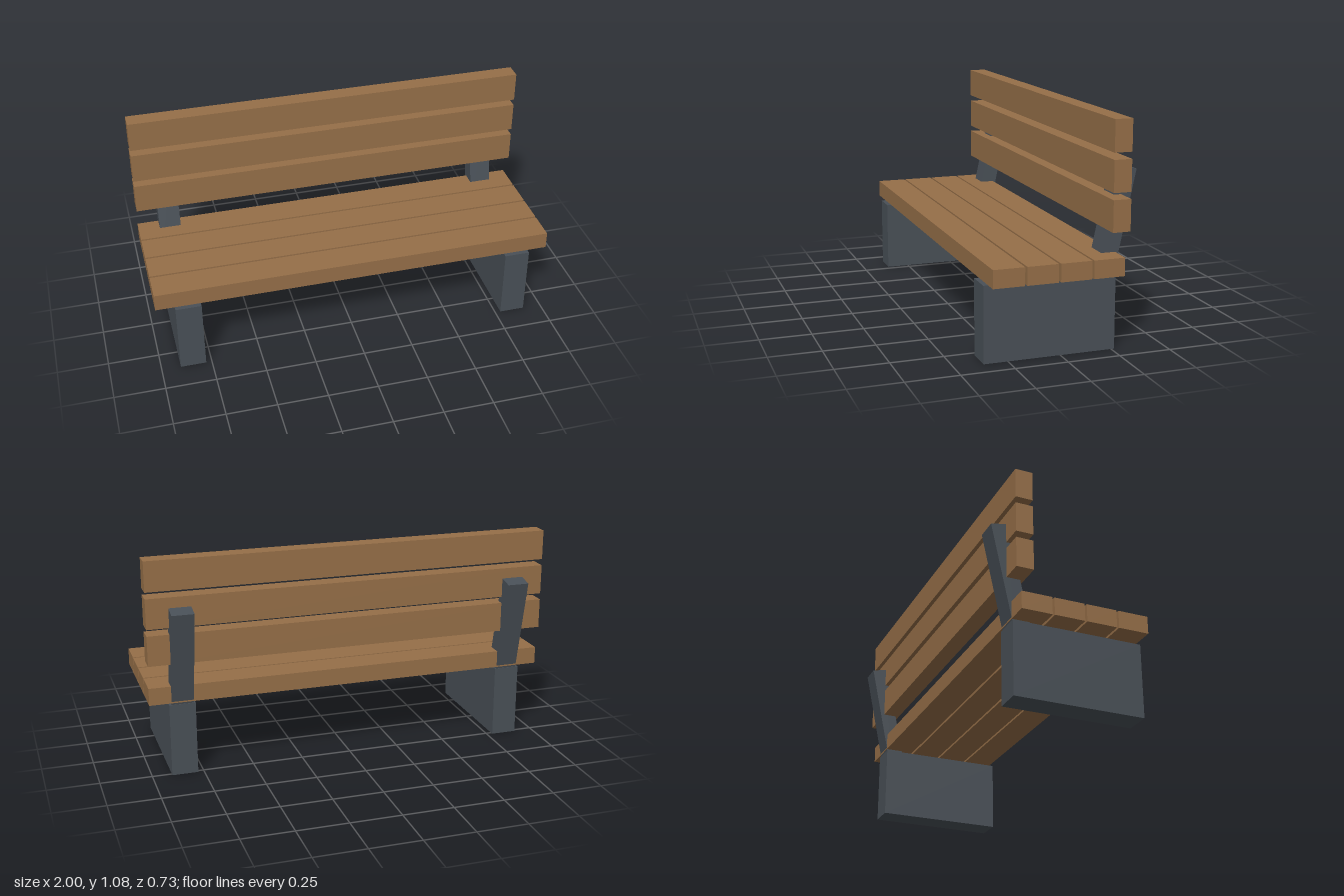
import * as THREE from 'three';

const wood = new THREE.MeshStandardMaterial({ color: 0x966f48 });
const steel = new THREE.MeshStandardMaterial({ color: 0x495057 });

function addBox(parent, name, size, position, material) {
  const mesh = new THREE.Mesh(new THREE.BoxGeometry(...size), material);
  mesh.name = name;
  mesh.position.set(...position);
  parent.add(mesh);
  return mesh;
}

export function createModel() {
  const bench = new THREE.Group();
  bench.name = 'bench';

  // Seat: four flat planks, front to back
  const seat = new THREE.Group();
  seat.name = 'seat';
  for (let i = 0; i < 4; i++) {
    addBox(seat, `seatPlank${i + 1}`, [2, 0.085, 0.147], [0, 0.412, 0.28 - i * 0.1573], wood);
  }

  // Backrest: three upright planks, bottom to top
  const backrest = new THREE.Group();
  backrest.name = 'backrest';
  for (let i = 0; i < 3; i++) {
    addBox(backrest, `backPlank${i + 1}`, [2, 0.147, 0.084], [0, 0.645 + i * 0.1785, -0.246], wood);
  }

  // Block legs with a leaning back support on each side
  for (const [side, s] of [['left', 1], ['right', -1]]) {
    addBox(bench, `${side}Leg`, [0.127, 0.36, 0.63], [s * 0.842, 0.18, 0.05], steel);
    const support = addBox(bench, `${side}BackSupport`, [0.107, 0.53, 0.083], [s * 0.84, 0.579, -0.266], steel);
    support.rotation.x = THREE.MathUtils.degToRad(-12);
  }

  bench.add(seat, backrest);
  return bench;
}
